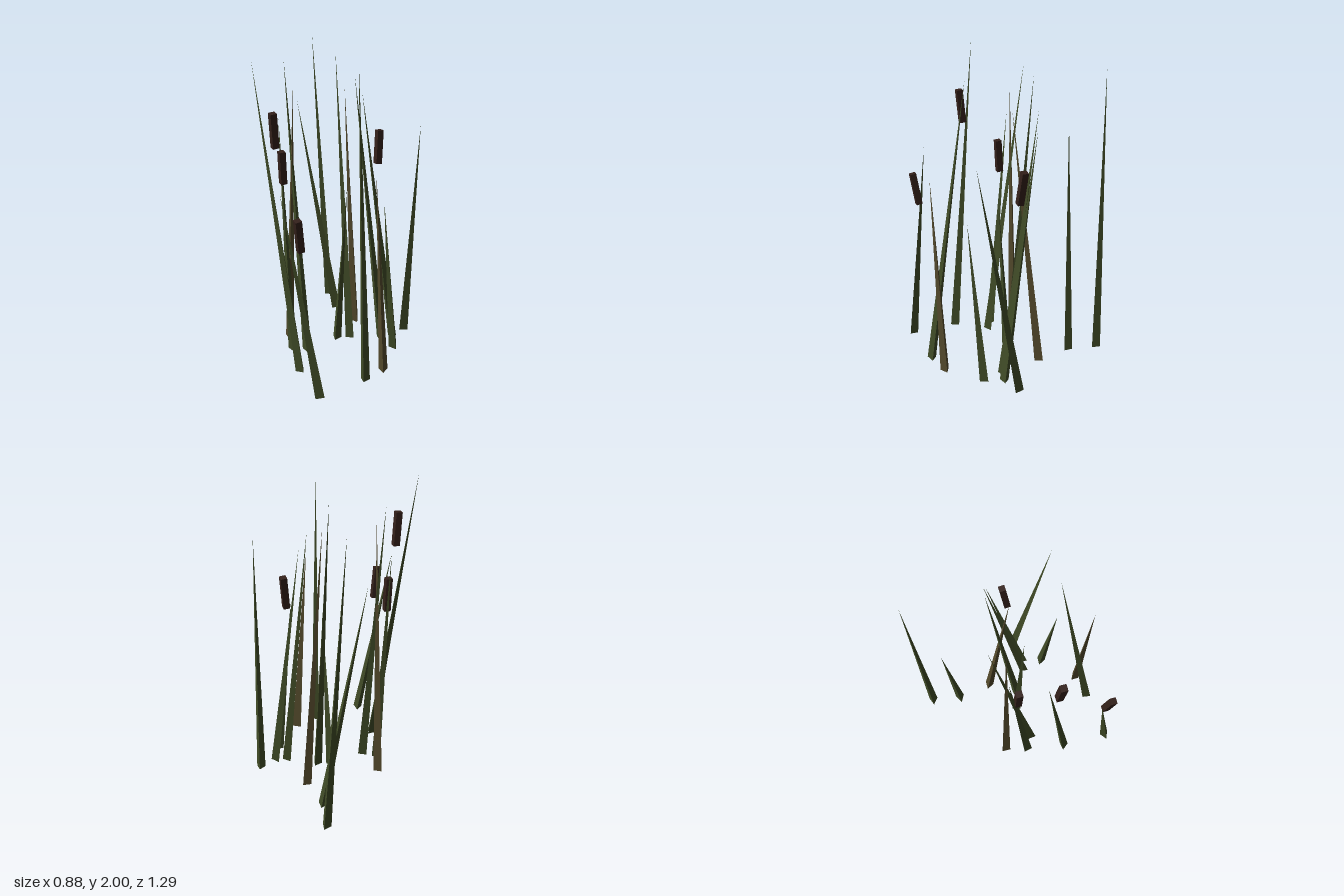
import * as THREE from 'three';

const UP = new THREE.Vector3(0, 1, 0);
const RADIUS = 0.033;

const paint = (color) => new THREE.MeshStandardMaterial({ color, flatShading: true });
const green = paint(0x3f4a26);
const olive = paint(0x544a2c);
const brown = paint(0x33201a);

// Each blade: base x, base z, tip x, tip y, tip z, angle of one base corner in degrees, material
const BLADES = [
  [-0.33, -0.615, -0.41, 1.95, -0.55, 145, green],
  [-0.22, -0.45, -0.435, 1.57, -0.32, 135, green],
  [-0.034, -0.315, -0.04, 1.75, -0.10, -73, olive],
  [0.20, -0.15, -0.03, 1.79, -0.27, -156, green],
  [0.265, -0.19, 0.015, 1.68, -0.285, -150, green],
  [0.317, -0.31, 0.44, 1.58, -0.085, 11, green],
  [0.313, -0.07, 0.265, 1.11, 0.06, -72, green],
  [0.32, 0.21, 0.28, 1.37, 0.295, -47, olive],
  [0.24, 0.35, 0.12, 1.96, 0.13, -153, green],
  [0.0, -0.10, -0.13, 1.95, -0.195, -90, green],
  [-0.085, -0.058, -0.003, 1.12, -0.03, 90, green],
  [-0.227, 0.14, -0.40, 1.92, -0.025, -169, green],
  [-0.395, 0.025, -0.32, 1.79, 0.035, 198, olive],
  [-0.32, 0.16, -0.40, 1.58, 0.088, 187, green],
  [-0.18, 0.38, -0.442, 2.0, 0.35, 158, green],
  [0.03, 0.605, -0.20, 1.33, 0.585, 8, green],
];

// Each seed head: centre x, y, z and forward tilt
const HEADS = [
  [-0.367, 1.285, 0.128, 0.06],
  [-0.313, 1.61, 0.368, 0.1],
  [0.138, 1.35, -0.24, -0.13],
  [-0.085, 1.08, 0.595, 0.18],
];

// Slim three-sided spike leaning from its base to its tip
function makeBlade([bx, bz, tx, ty, tz, angle, material]) {
  const base = new THREE.Vector3(bx, 0.005, bz);
  const axis = new THREE.Vector3(tx, ty, tz).sub(base);
  const length = axis.length();
  const start = THREE.MathUtils.degToRad(90 - angle);
  const geometry = new THREE.ConeGeometry(RADIUS, length, 3, 1, false, start);
  geometry.translate(0, length / 2, 0);
  const blade = new THREE.Mesh(geometry, material);
  blade.position.copy(base);
  blade.quaternion.setFromUnitVectors(UP, axis.normalize());
  return blade;
}

// Four-sided seed head with its corners on the x and z axes
function makeHead([x, y, z, tilt]) {
  const head = new THREE.Mesh(new THREE.CylinderGeometry(0.028, 0.028, 0.215, 4), brown);
  head.position.set(x, y, z);
  head.rotation.x = tilt;
  return head;
}

export function createModel() {
  const reeds = new THREE.Group();
  reeds.name = 'reeds';
  BLADES.forEach((spec, i) => {
    const blade = makeBlade(spec);
    blade.name = `blade${i + 1}`;
    reeds.add(blade);
  });
  HEADS.forEach((spec, i) => {
    const head = makeHead(spec);
    head.name = `seedHead${i + 1}`;
    reeds.add(head);
  });
  return reeds;
}
